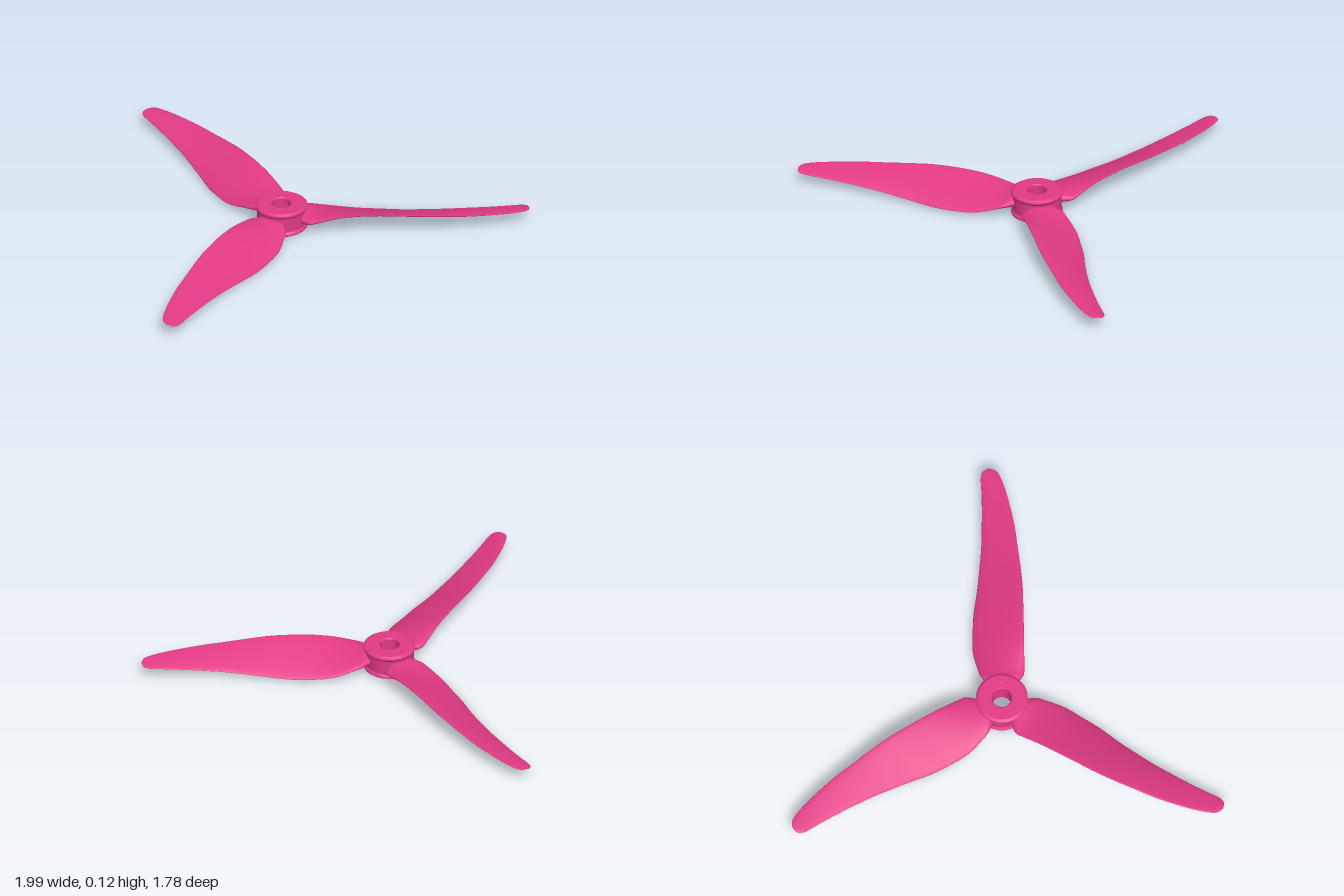
import * as THREE from 'three';
import { toCreasedNormals } from 'three/addons/utils/BufferGeometryUtils.js';

const MID_Y = 0.061;

// Blade stations: [radius, trailing edge x, leading edge x, edge rise, half thickness]
const STATIONS = [
  [0.065, -0.05, 0.05, 0.0, 0.027],
  [0.095, -0.072, 0.075, 0.0, 0.027],
  [0.125, -0.094, 0.1, 0.003, 0.025],
  [0.155, -0.106, 0.106, 0.01, 0.02],
  [0.255, -0.13, 0.106, 0.036, 0.014],
  [0.355, -0.13, 0.106, 0.047, 0.012],
  [0.455, -0.124, 0.105, 0.049, 0.011],
  [0.555, -0.108, 0.103, 0.045, 0.011],
  [0.655, -0.096, 0.094, 0.037, 0.01],
  [0.755, -0.086, 0.082, 0.029, 0.01],
  [0.855, -0.082, 0.07, 0.022, 0.009],
  [0.955, -0.08, 0.05, 0.016, 0.008],
  [1.035, -0.081, 0.03, 0.011, 0.007],
  [1.1, -0.083, 0.008, 0.007, 0.006],
  [1.133, -0.073, -0.012, 0.004, 0.005],
  [1.145, -0.046, -0.042, 0.0, 0.001],
];

// Twisted blade along -z, lofted through lens-shaped sections
function bladeGeometry(rings = 61, sides = 28) {
  const curve = (f) => new THREE.CatmullRomCurve3(STATIONS.map(f), false, 'catmullrom', 0.5);
  const outline = curve(([r, a, b]) => new THREE.Vector3(a, b, r));
  const section = curve(([r, , , rise, thick]) => new THREE.Vector3(rise, thick, r));
  const positions = [], index = [];
  for (let i = 0; i < rings; i++) {
    const o = outline.getPoint(i / (rings - 1));
    const s = section.getPoint(i / (rings - 1));
    for (let j = 0; j < sides; j++) {
      const angle = (j / sides) * Math.PI * 2;
      const u = Math.cos(angle);
      positions.push(
        (o.x + o.y) / 2 + u * (o.y - o.x) / 2,
        MID_Y + s.x * u + s.y * Math.sin(angle),
        -o.z
      );
      if (i < rings - 1) {
        const a = i * sides + j, b = i * sides + (j + 1) % sides;
        index.push(a, a + sides, b, b, a + sides, b + sides);
      }
    }
  }
  const geometry = new THREE.BufferGeometry();
  geometry.setAttribute('position', new THREE.Float32BufferAttribute(positions, 3));
  geometry.setIndex(index);
  geometry.computeVertexNormals();
  return geometry;
}

// Spool-shaped hub with bevelled flanges and a through bore
function hubGeometry() {
  const profile = [
    [0.045, 0.004], [0.049, 0], [0.108, 0], [0.12, 0.008], [0.12, 0.016], [0.112, 0.026],
    [0.112, 0.096], [0.12, 0.106], [0.12, 0.114], [0.108, 0.122], [0.049, 0.122],
    [0.045, 0.118], [0.045, 0.004],
  ].map(([x, y]) => new THREE.Vector2(x, y));
  return toCreasedNormals(new THREE.LatheGeometry(profile, 64), 0.5);
}

export function createModel() {
  const pink = new THREE.MeshStandardMaterial({ color: 0xe23a84 });
  pink.name = 'pink plastic';

  const model = new THREE.Group();
  model.name = 'propeller';
  const rotor = new THREE.Group();
  rotor.name = 'rotor';
  rotor.position.set(-0.025, 0, 0.255);
  model.add(rotor);

  const hub = new THREE.Mesh(hubGeometry(), pink);
  hub.name = 'hub';
  rotor.add(hub);

  // Three identical blades around the hub
  const geometry = bladeGeometry();
  for (let i = 0; i < 3; i++) {
    const blade = new THREE.Mesh(geometry, pink);
    blade.name = `blade${i + 1}`;
    blade.rotation.y = (i * Math.PI * 2) / 3;
    rotor.add(blade);
  }
  return model;
}
